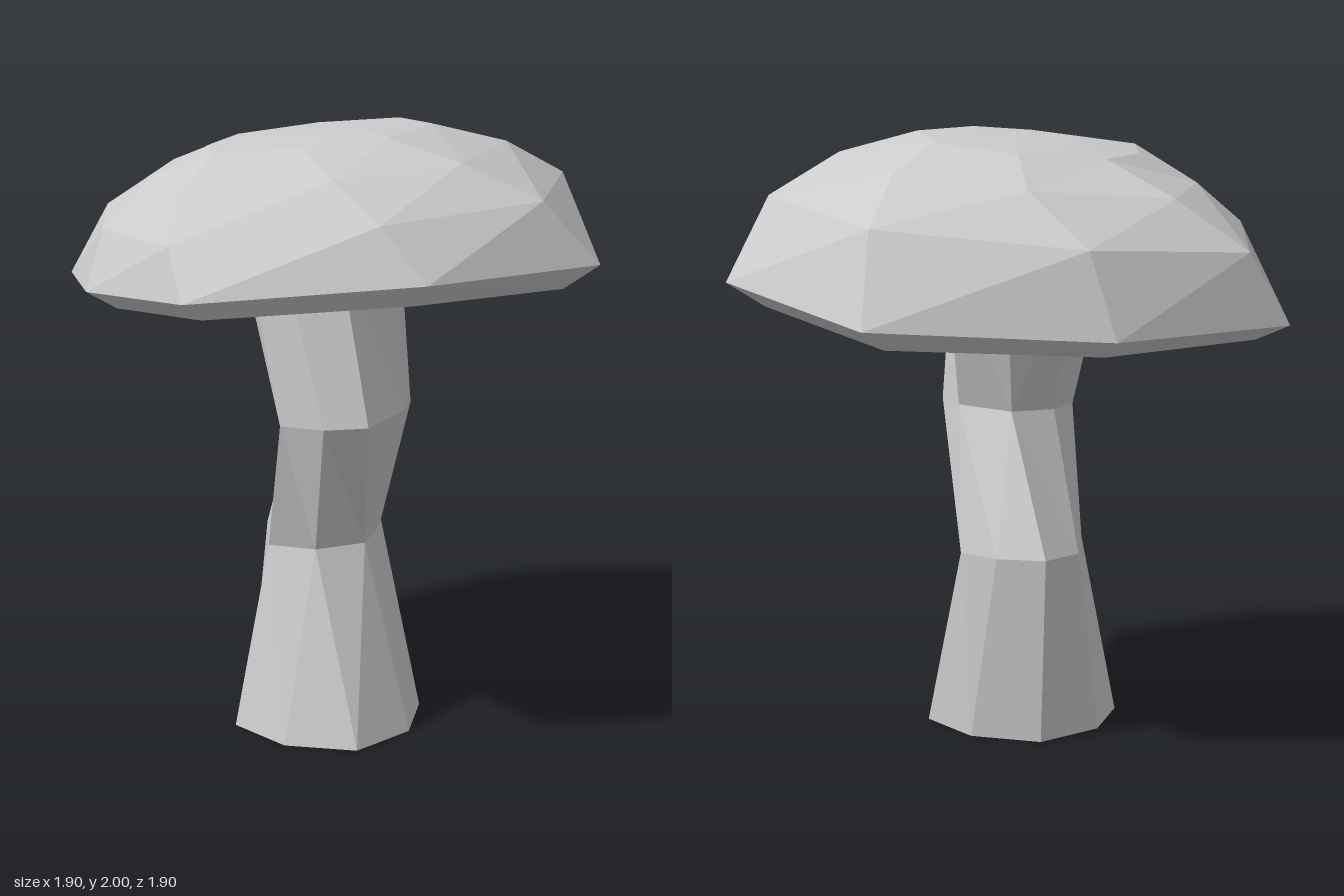
import * as THREE from 'three';

const SIDES = 8;

const distance = (p, q) => Math.hypot(p[0] - q[0], p[1] - q[1], p[2] - q[2]);

// Joins rings of points (bottom to top) with a closing point at each end.
// Each quad is split along its shorter diagonal.
function loft(name, rings, bottom, top, material) {
  const pos = [];
  const tri = (...pts) => pts.forEach((p) => pos.push(...p));
  const last = rings[rings.length - 1];
  for (let i = 0; i < SIDES; i++) {
    const j = (i + 1) % SIDES;
    tri(bottom, rings[0][i], rings[0][j]);
    for (let k = 0; k + 1 < rings.length; k++) {
      const a = rings[k], b = rings[k + 1];
      if (distance(a[i], b[j]) < distance(a[j], b[i])) {
        tri(a[i], b[i], b[j]);
        tri(a[i], b[j], a[j]);
      } else {
        tri(a[i], b[i], a[j]);
        tri(b[i], b[j], a[j]);
      }
    }
    tri(top, last[j], last[i]);
  }
  const geometry = new THREE.BufferGeometry();
  geometry.setAttribute('position', new THREE.Float32BufferAttribute(pos, 3));
  geometry.computeVertexNormals();
  const mesh = new THREE.Mesh(geometry, material);
  mesh.name = name;
  return mesh;
}

// Places an outline of [x, z] pairs on a tilted plane.
const onPlane = (outline, y, slopeX = 0, slopeZ = 0) =>
  outline.map(([x, z]) => [x, y + slopeX * x + slopeZ * z, z]);

export function createModel() {
  const group = new THREE.Group();
  group.name = 'mushroom';
  const material = new THREE.MeshStandardMaterial({ color: 0xcccccc, flatShading: true });

  // Stem outlines from the foot up
  const foot = [[0.37, 0.07], [0.295, 0.3], [0.065, 0.375], [-0.165, 0.3],
    [-0.24, 0.07], [-0.165, -0.16], [0.065, -0.235], [0.295, -0.16]];
  const lowerBend = [[0.15, -0.11], [0.18, 0.03], [0.07, 0.17], [-0.09, 0.2],
    [-0.22, -0.02], [-0.19, -0.17], [-0.04, -0.235], [0.11, -0.225]];
  const upperBend = [[0.325, 0.05], [0.305, 0.25], [0.17, 0.3], [0, 0.28],
    [-0.03, 0.12], [0.02, -0.06], [0.19, -0.12], [0.3, -0.06]];
  const neck = [[0.17, 0.21], [-0.01, 0.27], [-0.15, 0.25], [-0.26, 0.12],
    [-0.27, -0.07], [-0.08, -0.23], [0.16, -0.24], [0.265, -0.035]];

  // Crooked stem
  const stem = [
    onPlane(foot, 0),
    onPlane(lowerBend, 0.62),
    onPlane(upperBend, 1.073, 0.08, -0.05),
    onPlane(neck, 1.68),
  ];
  group.add(loft('stem', stem, [0.065, 0, 0.07], [0, 1.68, 0.02], material));

  // Cap outlines from the rim inward to the crown
  const rim = [[0.05, 0.95], [-0.5, 0.63], [-0.95, 0.05], [-0.67, -0.51],
    [-0.05, -0.95], [0.63, -0.77], [0.95, -0.06], [0.63, 0.5]];
  const shoulder = [[-0.07, 0.83], [-0.52, 0.5], [-0.86, -0.05], [-0.57, -0.51],
    [0.01, -0.83], [0.59, -0.6], [0.8, 0.05], [0.47, 0.5]];
  const upper = [[-0.17, 0.6], [-0.46, 0.31], [-0.64, -0.13], [-0.33, -0.48],
    [0.09, -0.6], [0.49, -0.36], [0.56, 0.13], [0.27, 0.43]];
  const crown = [[-0.18, 0.38], [-0.33, 0.16], [-0.37, -0.1], [-0.19, -0.33],
    [0.09, -0.38], [0.3, -0.19], [0.31, 0.14], [0.1, 0.31]];
  const tip = [[-0.07, 0.17], [-0.18, 0.06], [-0.19, -0.1], [-0.09, -0.19],
    [0.09, -0.18], [0.17, -0.1], [0.19, 0.05], [0.09, 0.16]];
  const lip = rim.map(([x, z]) => [x * 0.875, z * 0.875]);

  // Tilted faceted cap with a bevelled lip and a deeply hollowed underside
  const cap = [
    onPlane(lip, 1.455, 0.1, 0.08),
    onPlane(rim, 1.525, 0.105, 0.07),
    onPlane(shoulder, 1.745, 0.1, 0),
    onPlane(upper, 1.88, 0.1, -0.01),
    onPlane(crown, 1.965, 0.105, -0.01),
    onPlane(tip, 1.981, 0.1, 0),
  ];
  group.add(loft('cap', cap, [0, 1.72, 0], [0, 1.985, 0], material));

  return group;
}
